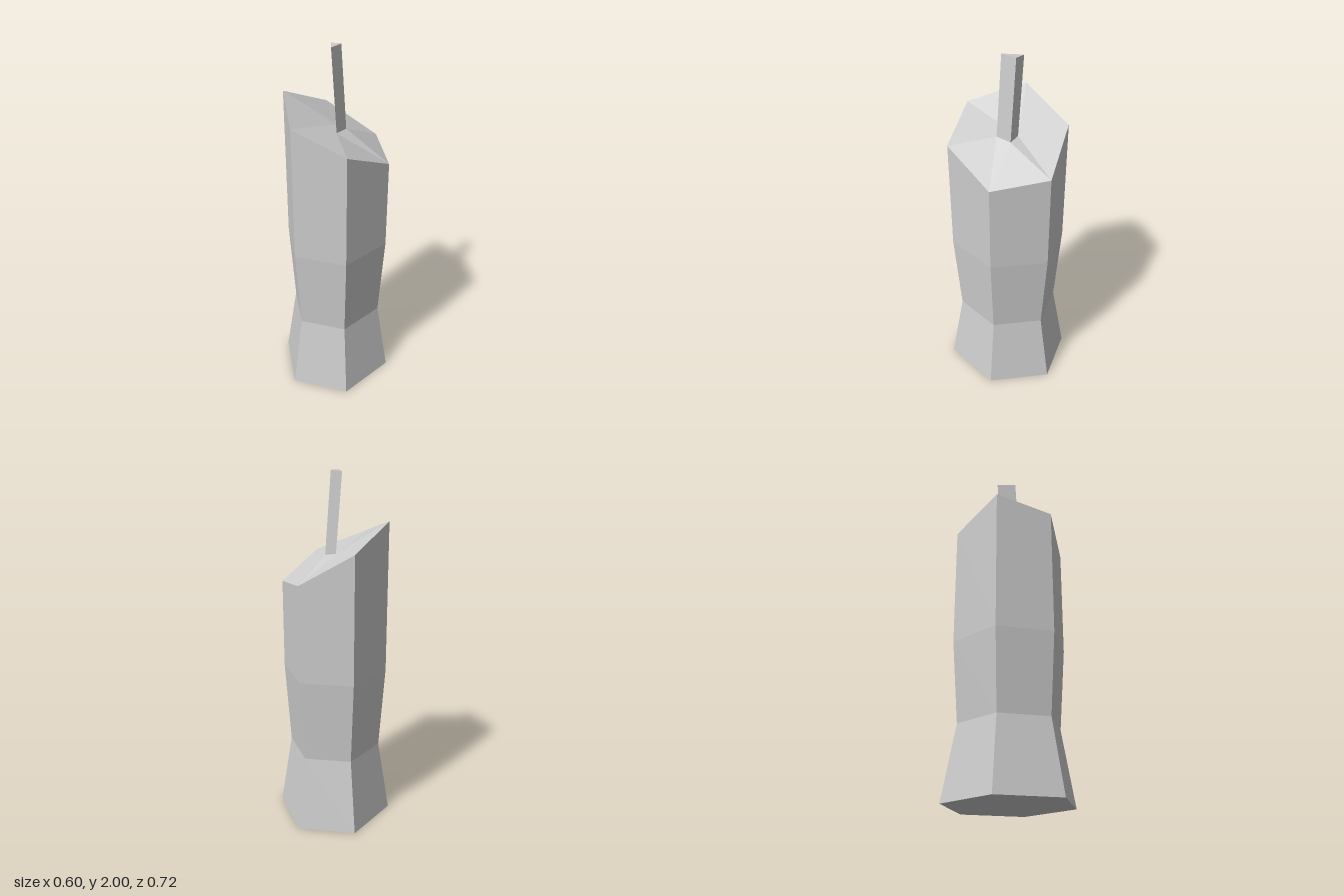
import * as THREE from 'three';

// Closed-form faceted surface from corner points and triangle indices
function faceted(points, indices) {
  const g = new THREE.BufferGeometry();
  g.setAttribute('position', new THREE.Float32BufferAttribute(points.flat(), 3));
  g.setIndex(indices);
  const flat = g.toNonIndexed();
  flat.computeVertexNormals();
  return flat;
}

// Side quads between two rings of n points, running clockwise seen from above
function band(lower, upper, n) {
  const out = [];
  for (let i = 0; i < n; i++) {
    const j = (i + 1) % n;
    out.push(lower + i, upper + i, upper + j, lower + i, upper + j, lower + j);
  }
  return out;
}

export function createModel() {
  const group = new THREE.Group();
  const grey = new THREE.MeshStandardMaterial({ color: 0xcccccc, flatShading: true });
  grey.name = 'plain grey';

  // Irregular hexagon footprint (x, z) and the slanted rim heights
  const hexagon = [[0.017, -0.36], [0.30, -0.14], [0.283, 0.22], [-0.017, 0.36], [-0.302, 0.137], [-0.285, -0.223]];
  const rim = [1.43, 1.39, 1.525, 1.645, 1.735, 1.6];
  const ring = (scale, y) => hexagon.map(([x, z], i) => [x * scale, Array.isArray(y) ? y[i] : y, z * scale]);

  // Wick foot triangle, also the inner corners of the sunken wax top
  const foot = [[-0.035, 1.56, -0.04], [0.03, 1.55, -0.048], [0.042, 1.555, 0.042]];

  // Candle body: foot, waist, shoulder, rim, then dished top
  const points = [...ring(1, 0), ...ring(0.795, 0.42), ...ring(0.893, 0.89), ...ring(0.895, rim), ...foot];
  const [A, B, C] = [24, 25, 26];
  const h = (i) => 18 + i;
  const top = [
    h(0), B, h(1), h(0), A, B, h(1), C, h(2), h(1), B, C, h(2), C, h(3),
    h(3), C, A, h(3), A, h(4), h(4), A, h(5), h(5), A, h(0), A, C, B,
  ];
  const indices = [...top];
  for (let r = 0; r < 3; r++) indices.push(...band(r * 6, r * 6 + 6, 6));
  for (let i = 1; i < 5; i++) indices.push(0, i, i + 1);
  const body = new THREE.Mesh(faceted(points, indices), grey);
  body.name = 'candleBody';
  group.add(body);

  // Leaning three-sided wick
  const tip = foot.map(([x, , z], i) => [x - 0.038, i === 0 ? 1.995 : 2, z]);
  const wick = new THREE.Mesh(faceted([...foot, ...tip], [...band(0, 3, 3), 3, 5, 4, 0, 1, 2]), grey);
  wick.name = 'wick';
  group.add(wick);

  return group;
}
